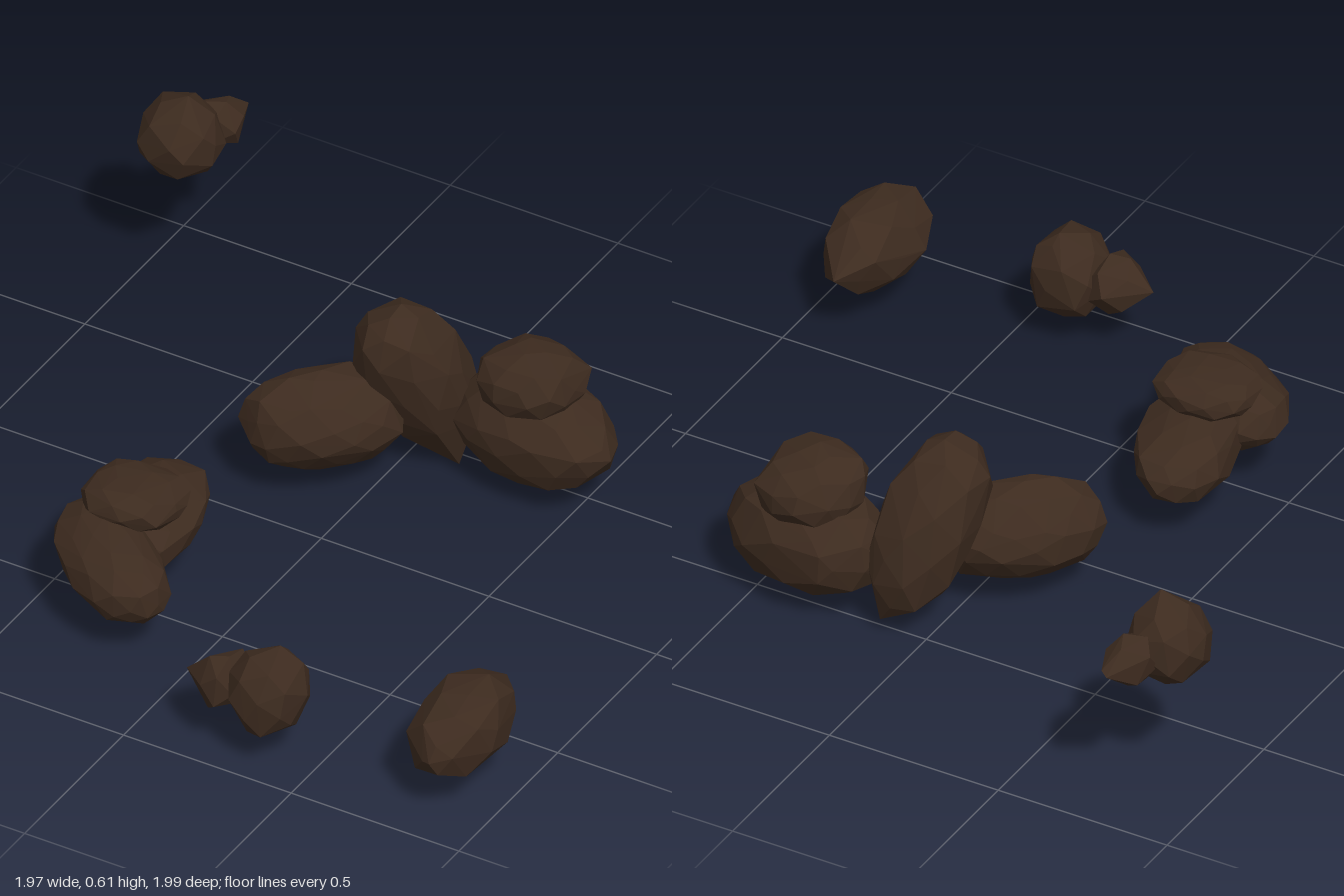
import * as THREE from 'three';
import { ConvexGeometry } from 'three/addons/geometries/ConvexGeometry.js';

// Small seeded random generator
function seeded(seed) {
  let s = seed * 7919 + 17;
  return () => (s = (s * 16807) % 2147483647) / 2147483647;
}

// Each rock: box as [min, max] per axis, long axis and stretch, point count, extra corner points
const ROCKS = [
  { name: 'floatingRock', x: [-0.99, -0.77], y: [0.36, 0.58], z: [-0.89, -0.67], n: 30, tips: [[-0.85, 0.61, -0.77]] },
  { name: 'floatingPebble', x: [-0.9, -0.77], y: [0.39, 0.53], z: [-0.95, -0.84], n: 16, tips: [[-0.82, 0.46, -1], [-0.8, 0.47, -0.99]] },
  { name: 'backMound', x: [0.13, 0.59], y: [0.06, 0.33], z: [-0.62, -0.32], axis: [1, 0, 0.1], stretch: 1.6, n: 60, tips: [[0.61, 0.2, -0.43], [0.25, 0.24, -0.62]] },
  { name: 'backCapRock', x: [0.22, 0.49], y: [0.25, 0.45], z: [-0.61, -0.33], axis: [0.1, -0.3, -1], stretch: 1.3, n: 44 },
  { name: 'standingRock', x: [-0.09, 0.18], y: [0.06, 0.53], z: [-0.57, -0.23], axis: [-0.09, 0.5, 0.2], stretch: 2, n: 52, tips: [[0.14, 0, -0.46], [0.12, 0.04, -0.53], [0.19, 0.17, -0.47]] },
  { name: 'leaningBoulder', x: [-0.3, 0.08], y: [0.07, 0.36], z: [-0.39, -0.03], axis: [0.3, 0, -0.33], stretch: 1.7, n: 70 },
  { name: 'frontLongRock', x: [-0.47, -0.08], y: [0.09, 0.31], z: [0.42, 0.76], axis: [0.35, -0.07, 0.27], stretch: 1.8, n: 70 },
  { name: 'frontRearRock', x: [-0.43, -0.14], y: [0.11, 0.29], z: [0.14, 0.58], axis: [0.1, 0.05, 0.4], stretch: 1.7, n: 56 },
  { name: 'frontCapRock', x: [-0.42, -0.15], y: [0.26, 0.37], z: [0.34, 0.58], n: 50 },
  { name: 'cornerRock', x: [0.26, 0.47], y: [0.09, 0.32], z: [0.77, 0.99], n: 30, tips: [[0.38, 0.33, 0.85]] },
  { name: 'cornerPebble', x: [0.18, 0.29], y: [0.12, 0.28], z: [0.8, 0.97], n: 16, tips: [[0.13, 0.2, 0.9]] },
  { name: 'pointedRock', x: [0.76, 0.98], y: [0.09, 0.31], z: [0.58, 0.94], n: 36, tips: [[0.86, 0.21, 0.52], [0.74, 0.19, 0.79], [0.88, 0.2, 0.95]] },
];

function rockGeometry({ x, y, z, axis = [0, 1, 0], stretch = 1, n, tips = [] }, seed) {
  const rand = seeded(seed);
  const turn = new THREE.Quaternion().setFromUnitVectors(
    new THREE.Vector3(0, 1, 0), new THREE.Vector3(...axis).normalize());
  const points = [];

  // Points spread evenly on a slightly boxy ball, roughened, stretched and turned
  for (let i = 0; i < n; i++) {
    const h = 1 - (2 * (i + 0.5)) / n;
    const r = Math.sqrt(1 - h * h);
    const a = i * 2.39996 + rand() * 0.35;
    const p = new THREE.Vector3(r * Math.cos(a), h, r * Math.sin(a));
    const boxy = Math.pow(Math.abs(p.x) ** 2.5 + Math.abs(p.y) ** 2.5 + Math.abs(p.z) ** 2.5, -1 / 2.5);
    p.multiplyScalar(boxy * (0.95 + 0.08 * rand()));
    p.y *= stretch;
    points.push(p.applyQuaternion(turn));
  }

  // Fit the cloud to the rock's box
  const box = new THREE.Box3().setFromPoints(points);
  const size = box.getSize(new THREE.Vector3());
  for (const p of points) {
    p.sub(box.min).divide(size);
    p.set(
      THREE.MathUtils.lerp(x[0], x[1], p.x),
      THREE.MathUtils.lerp(y[0], y[1], p.y),
      THREE.MathUtils.lerp(z[0], z[1], p.z));
  }
  for (const t of tips) points.push(new THREE.Vector3(...t));
  return new ConvexGeometry(points);
}

export function createModel() {
  const model = new THREE.Group();
  model.name = 'rockCluster';
  const stone = new THREE.MeshStandardMaterial({ color: 0x3d2b1f, flatShading: true });
  stone.name = 'dark brown stone';

  ROCKS.forEach((rock, i) => {
    const mesh = new THREE.Mesh(rockGeometry(rock, i + 1), stone);
    mesh.name = rock.name;
    model.add(mesh);
  });
  return model;
}
